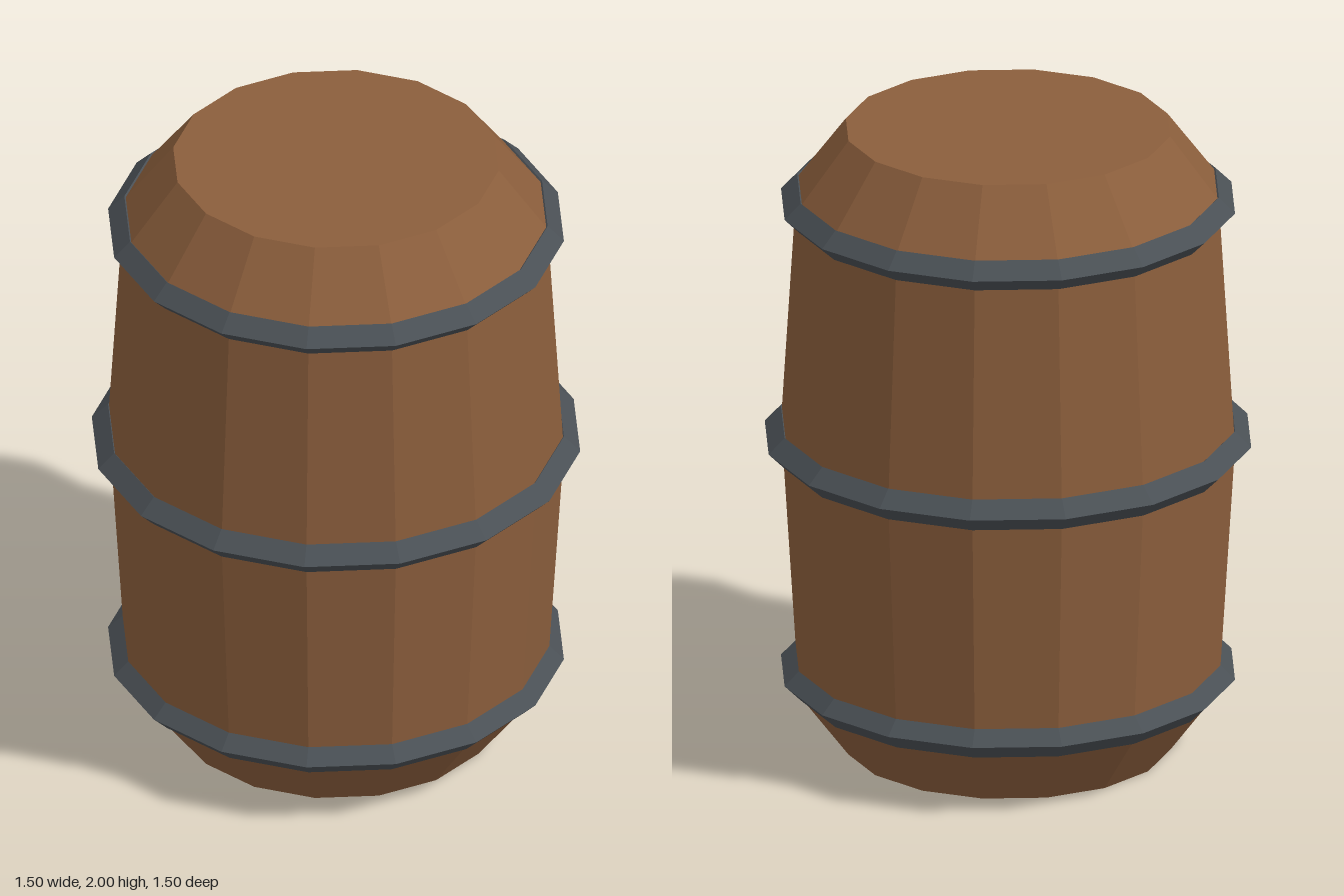
import * as THREE from 'three';

const SIDES = 16;

export function createModel() {
  const wood = new THREE.MeshStandardMaterial({ color: 0x8b5e3c, flatShading: true });
  wood.name = 'wood';
  const iron = new THREE.MeshStandardMaterial({ color: 0x4a5055, flatShading: true });
  iron.name = 'iron';

  const barrel = new THREE.Group();
  barrel.name = 'barrel';

  // Bulging staves with closed ends, turned around the y axis
  const profile = [[0, 0], [0.5, 0], [0.65, 0.2], [0.7, 1], [0.65, 1.8], [0.5, 2], [0, 2]]
    .map(([r, y]) => new THREE.Vector2(r, y));
  const body = new THREE.Mesh(new THREE.LatheGeometry(profile, SIDES), wood);
  body.name = 'body';
  barrel.add(body);

  // Diamond-section hoops
  const hoops = [['lowerHoop', 0.65, 0.24], ['middleHoop', 0.7, 1], ['upperHoop', 0.65, 1.76]];
  for (const [name, radius, y] of hoops) {
    const hoop = new THREE.Mesh(new THREE.TorusGeometry(radius, 0.05, 4, SIDES), iron);
    hoop.name = name;
    hoop.rotation.x = Math.PI / 2;
    hoop.position.y = y;
    barrel.add(hoop);
  }
  return barrel;
}
